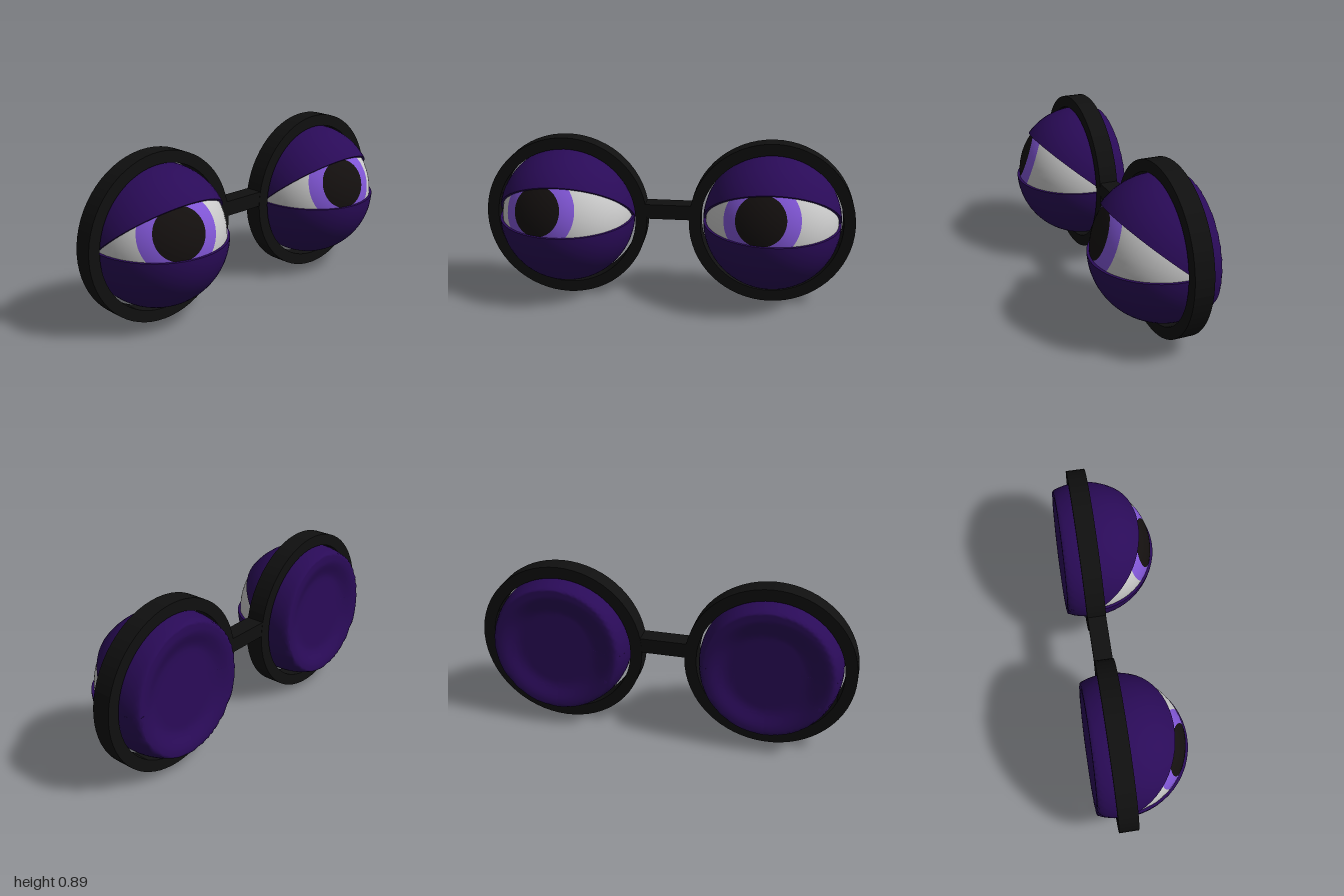
import * as THREE from 'three';

const rad = THREE.MathUtils.degToRad;
const paint = (color, side = THREE.FrontSide) => new THREE.MeshStandardMaterial({ color, side });

const FRAME = paint(0x101010);
const LID = paint(0x2a0b58, THREE.DoubleSide);
const WHITE = paint(0xcccccc);
const IRIS = paint(0x8257d8);
const PUPIL = paint(0x14100f);

const LID_R = 0.37, EYE_R = 0.356;
const EYE_Y = 0.449, EYE_Z = 0.559;

function part(name, geometry, material) {
  const mesh = new THREE.Mesh(geometry, material);
  mesh.name = name;
  return mesh;
}

// Pushes every vertex no further back than limit(y, r)
function flattenBack(geometry, limit) {
  const p = geometry.attributes.position;
  for (let i = 0; i < p.count; i++) {
    const y = p.getY(i), r = Math.hypot(y, p.getZ(i));
    p.setX(i, Math.max(p.getX(i), -limit(y, r)));
  }
  return geometry;
}

// Slightly leaning back with a shallow round dish
const dishedBack = (y, r) =>
  0.145 - 0.045 * y - 0.03 * (1 - THREE.MathUtils.smoothstep(r, 0.2, 0.31));

// Half shell with a flat rim, tilted about the sideways axis
function lid(name, flip, tilt) {
  const profile = [new THREE.Vector2(EYE_R - 0.012, 0), new THREE.Vector2(LID_R, 0)];
  const steps = 24;
  for (let i = 0; i <= steps; i++) {
    const a = (i / steps) * Math.PI / 2;
    profile.push(new THREE.Vector2(i === steps ? 0 : LID_R * Math.cos(a), LID_R * Math.sin(a)));
  }
  const g = new THREE.LatheGeometry(profile, 56, -Math.PI / 2);
  if (flip) g.rotateX(Math.PI);
  g.rotateZ(rad(tilt));
  flattenBack(g, dishedBack);
  g.computeVertexNormals();
  return part(name, g, LID);
}

// Band of the eyeball between two angles from the gaze direction
function eyeBand(name, from, to, gaze, material) {
  const g = new THREE.SphereGeometry(EYE_R, 48, Math.ceil((to - from) / 5), 0, Math.PI * 2, rad(from), rad(to - from));
  g.applyQuaternion(new THREE.Quaternion().setFromUnitVectors(new THREE.Vector3(0, 1, 0), gaze));
  return part(name, flattenBack(g, () => 0.08), material);
}

function eye(name, z, gazeZ) {
  const group = new THREE.Group();
  group.name = name;
  group.position.set(-0.105, EYE_Y, z);
  const gazeY = 0.316;
  const gaze = new THREE.Vector3(Math.sqrt(1 - gazeY ** 2 - gazeZ ** 2), gazeY, gazeZ);
  group.add(
    eyeBand('pupil', 0, 22, gaze, PUPIL),
    eyeBand('iris', 22, 34.5, gaze, IRIS),
    eyeBand('eyeWhite', 34.5, 180, gaze, WHITE),
    lid('upperLid', false, 39),
    lid('lowerLid', true, -2.7)
  );
  return group;
}

// Flat-faced round rim, extruded front to back
function rim(name, z) {
  const shape = new THREE.Shape().absarc(0, 0, 0.443, 0, Math.PI * 2);
  shape.holes.push(new THREE.Path().absarc(0, 0, 0.381, 0, Math.PI * 2, true));
  const g = new THREE.ExtrudeGeometry(shape, { depth: 0.1, bevelEnabled: false, curveSegments: 32 });
  g.rotateY(Math.PI / 2);
  const mesh = part(name, g, FRAME);
  mesh.position.set(-0.155, 0.443, z);
  return mesh;
}

export function createModel() {
  const model = new THREE.Group();
  model.name = 'eyeGoggles';

  for (const [side, s, gazeZ] of [['front', 1, 0.292], ['rear', -1, 0.17]]) {
    model.add(rim(side + 'Rim', s * 0.557), eye(side + 'Eye', s * EYE_Z, gazeZ));
  }

  // Bar joining the two rims
  const bridge = part('bridge', new THREE.BoxGeometry(0.098, 0.08, 0.27), FRAME);
  bridge.position.set(-0.105, 0.49, 0);
  model.add(bridge);

  return model;
}
